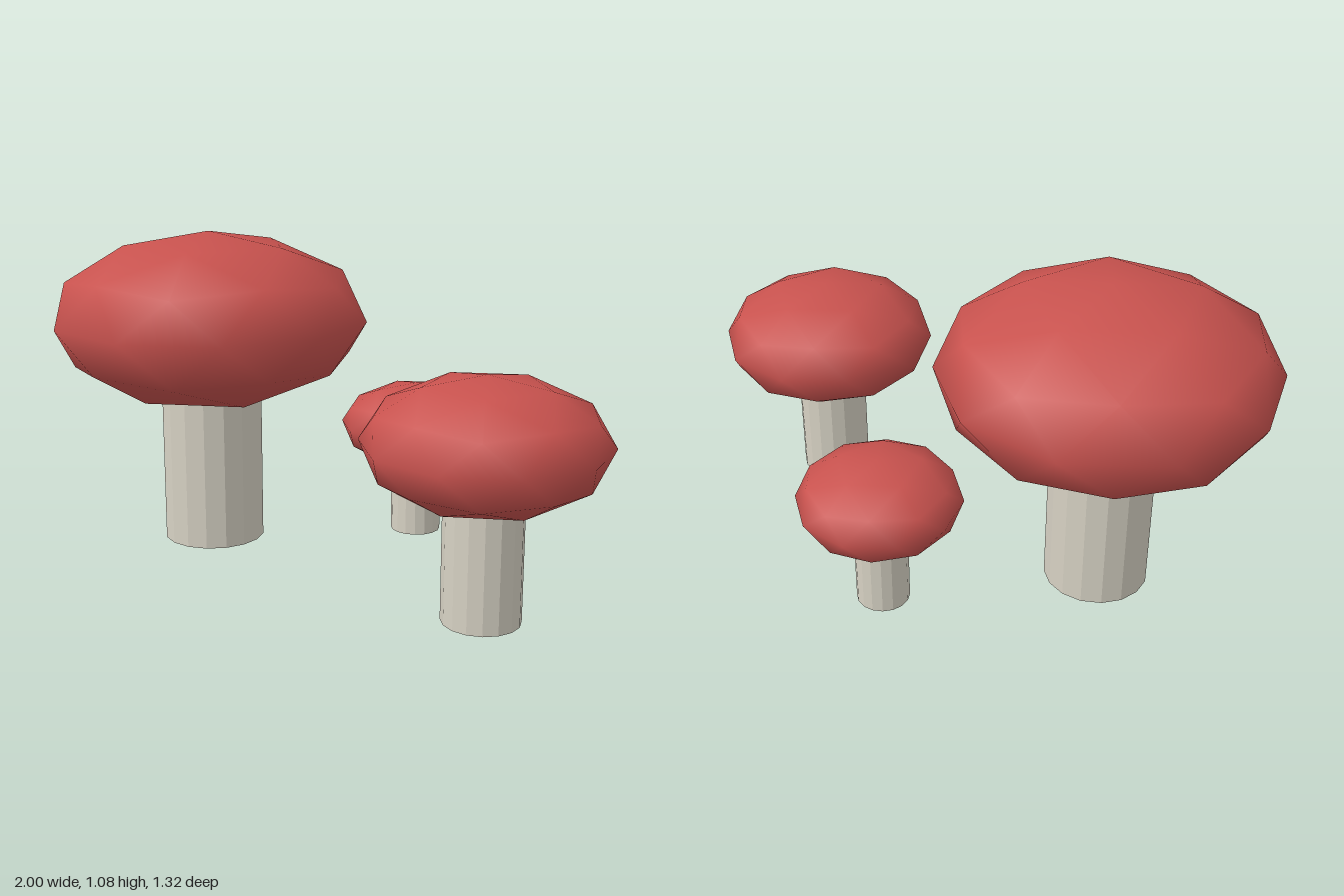
import * as THREE from 'three';

export function createModel() {
  const model = new THREE.Group();
  model.name = 'mushroomCluster';

  const capRed = new THREE.MeshStandardMaterial({ color: 0xc8524e });
  capRed.name = 'capRed';
  const stemCream = new THREE.MeshStandardMaterial({ color: 0xd6d1c3 });
  stemCream.name = 'stemCream';

  // Cap: smooth low-poly icosphere turned so one vertex is the pole
  const capGeometry = new THREE.IcosahedronGeometry(1, 1);
  capGeometry.rotateZ(-Math.atan(2 / (1 + Math.sqrt(5))));

  // Stem: faceted 16-sided post standing on y = 0
  const stemGeometry = new THREE.CylinderGeometry(1, 1, 1, 16).toNonIndexed();
  stemGeometry.computeVertexNormals();
  stemGeometry.translate(0, 0.5, 0);

  function addMushroom(name, x, z, capRadius, capHalfHeight, capY, stemRadius) {
    const mushroom = new THREE.Group();
    mushroom.name = name;
    mushroom.position.set(x, 0, z);

    const cap = new THREE.Mesh(capGeometry, capRed);
    cap.name = 'cap';
    cap.scale.set(capRadius, capHalfHeight, capRadius);
    cap.position.y = capY;

    // The stem runs up inside the cap to its middle
    const stem = new THREE.Mesh(stemGeometry, stemCream);
    stem.name = 'stem';
    stem.scale.set(stemRadius, capY, stemRadius);

    mushroom.add(cap, stem);
    model.add(mushroom);
  }

  addMushroom('largeMushroom', -0.481, -0.018, 0.546, 0.3, 0.78, 0.175);
  addMushroom('mediumMushroom', 0.643, 0.289, 0.373, 0.204, 0.547, 0.122);
  addMushroom('smallMushroom', 0.141, -0.393, 0.269, 0.148, 0.391, 0.088);

  return model;
}
